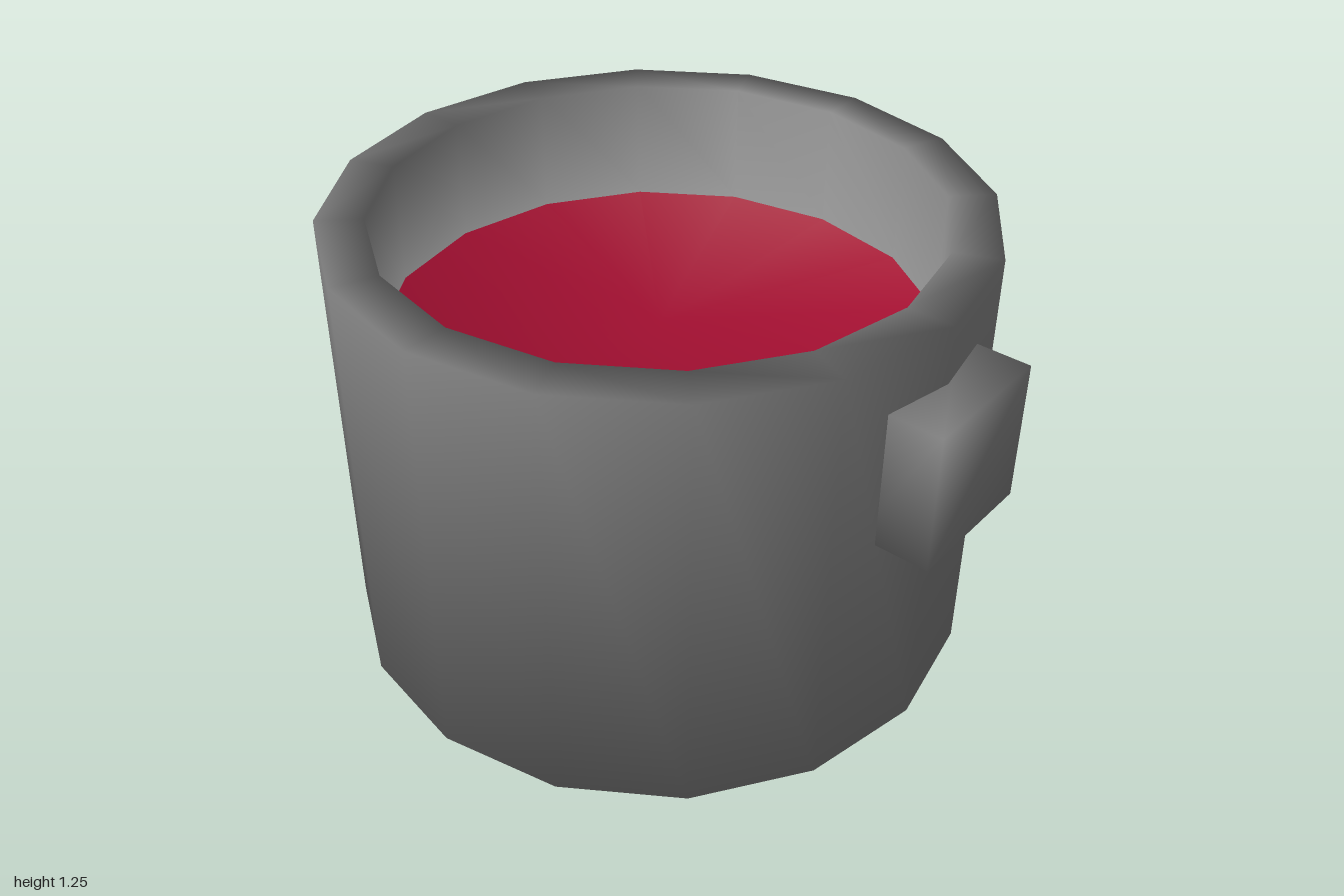
import * as THREE from 'three';
import { mergeVertices } from 'three/addons/utils/BufferGeometryUtils.js';

const SIDES = 16;

export function createModel() {
  const model = new THREE.Group();
  model.name = 'pot';

  const iron = new THREE.MeshStandardMaterial({ color: 0x868686 });
  iron.name = 'grey iron';
  const liquid = new THREE.MeshStandardMaterial({ color: 0xa30f31 });
  liquid.name = 'red liquid';

  // Vessel: base, outer wall, rim, inner wall, then the liquid surface
  const profile = [
    [0, 0], [0.89, 0], [0.89, 1.25], [0.76, 1.25], [0.76, 0.9], [0, 0.9],
  ].map(([r, y]) => new THREE.Vector2(r, y));
  const vesselGeometry = new THREE.LatheGeometry(profile, SIDES);

  // In each slice, the last band of the profile is liquid and the rest iron
  const bands = profile.length - 1;
  for (let i = 0; i < SIDES; i++) {
    const start = i * bands * 6;
    vesselGeometry.addGroup(start, (bands - 1) * 6, 0);
    vesselGeometry.addGroup(start + (bands - 1) * 6, 6, 1);
  }
  const vessel = new THREE.Mesh(vesselGeometry, [iron, liquid]);
  vessel.name = 'vesselAndLiquid';
  model.add(vessel);

  // Handles: soft-shaded blocks set into the front and back walls
  const box = new THREE.BoxGeometry(0.39, 0.39, 0.2);
  box.deleteAttribute('normal');
  box.deleteAttribute('uv');
  const handleGeometry = mergeVertices(box);
  handleGeometry.clearGroups();
  handleGeometry.computeVertexNormals();
  for (const [name, side] of [['frontHandle', 1], ['backHandle', -1]]) {
    const handle = new THREE.Mesh(handleGeometry, iron);
    handle.name = name;
    handle.position.set(0, 0.895, side * 0.9);
    if (side < 0) handle.rotation.y = Math.PI;
    model.add(handle);
  }

  return model;
}
